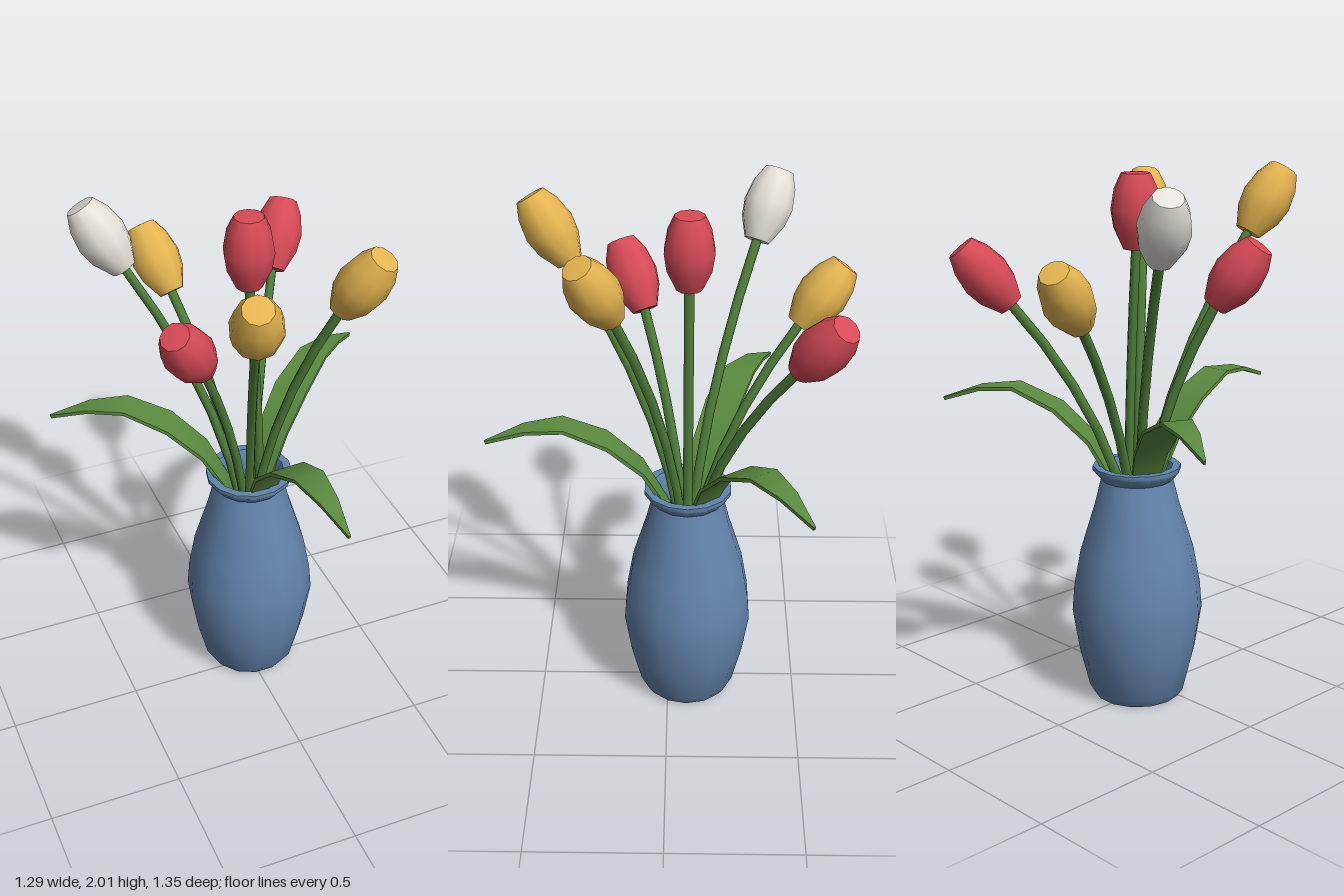
import * as THREE from 'three';
import { toCreasedNormals } from 'three/addons/utils/BufferGeometryUtils.js';

const mat = (name, color) => {
  const m = new THREE.MeshStandardMaterial({ color });
  m.name = name;
  return m;
};
const CENTRE = new THREE.Vector3(0.025, 0, -0.075); // vase axis

function lathe(profile, sides, crease) {
  const pts = profile.map(([r, y]) => new THREE.Vector2(r, y));
  return toCreasedNormals(new THREE.LatheGeometry(pts, sides, Math.PI / 2), crease);
}

// Arching strap leaf running along +z, with a thin box cross-section
function leafGeometry() {
  // distance from vase axis, height, half width
  const path = [
    [0.03, 0.6, 0.03], [0.07, 0.82, 0.045], [0.17, 1.0, 0.063], [0.3, 1.12, 0.07],
    [0.46, 1.192, 0.058], [0.6, 1.18, 0.036], [0.745, 1.13, 0.004],
  ];
  const t = 0.007, pos = [], index = [];
  path.forEach(([z, y, w], i) => {
    const a = path[Math.max(i - 1, 0)], b = path[Math.min(i + 1, path.length - 1)];
    const len = Math.hypot(b[0] - a[0], b[1] - a[1]);
    const nz = -(b[1] - a[1]) / len * t, ny = (b[0] - a[0]) / len * t;
    pos.push(-w, y - ny, z - nz, w, y - ny, z - nz, w, y + ny, z + nz, -w, y + ny, z + nz);
    if (i === 0) return;
    for (let k = 0; k < 4; k++) {
      const p = (i - 1) * 4 + k, q = (i - 1) * 4 + (k + 1) % 4;
      index.push(p, q, q + 4, p, q + 4, p + 4);
    }
  });
  const e = (path.length - 1) * 4;
  index.push(0, 2, 1, 0, 3, 2, e, e + 1, e + 2, e, e + 2, e + 3);
  const g = new THREE.BufferGeometry();
  g.setAttribute('position', new THREE.Float32BufferAttribute(pos, 3));
  g.setIndex(index);
  return toCreasedNormals(g, 0.7);
}

export function createModel() {
  const model = new THREE.Group();
  model.name = 'vaseOfTulips';
  const blue = mat('vaseBlue', 0x6384ad);
  const dark = mat('vaseInterior', 0x14181f);
  const stemGreen = mat('stemGreen', 0x4f7f3a);
  const leafGreen = mat('leafGreen', 0x5b8a40);
  const red = mat('petalRed', 0xd64a57);
  const yellow = mat('petalYellow', 0xe4b450);
  const white = mat('petalWhite', 0xe6e1d9);

  const add = (name, geometry, material, parent = model) => {
    const mesh = new THREE.Mesh(geometry, material);
    mesh.name = name;
    parent.add(mesh);
    return mesh;
  };

  // Vase with flared rim and hollow neck
  add('vase', lathe([
    [0, 0], [0.165, 0], [0.185, 0.03], [0.222, 0.18], [0.248, 0.34], [0.24, 0.44],
    [0.215, 0.58], [0.16, 0.76], [0.135, 0.86], [0.165, 0.895], [0.165, 0.912],
    [0.135, 0.912], [0.115, 0.86], [0.13, 0.76],
  ], 14, 0.7), blue).position.copy(CENTRE);
  const inside = add('vaseInterior', new THREE.CircleGeometry(0.134, 14), dark);
  inside.rotation.x = -Math.PI / 2;
  inside.position.set(CENTRE.x, 0.78, CENTRE.z);

  // Tulips: closed bud on a bent stem
  const bud = lathe([
    [0, 0], [0.048, 0], [0.083, 0.075], [0.093, 0.14], [0.08, 0.215], [0.054, 0.27], [0, 0.275],
  ], 10, 0.8);
  const tulips = [
    // colour, bud middle, bud lean (direction of its axis)
    [red, [0.025, 1.858, -0.075], [0, 1, 0]],
    [white, [-0.413, 1.86, -0.362], [-0.13, 0.24, -0.085]],
    [yellow, [-0.152, 1.87, 0.42], [-0.05, 0.23, 0.14]],
    [yellow, [0.31, 1.83, 0.237], [0.1, 0.23, 0.105]],
    [red, [-0.28, 1.637, 0.133], [-0.13, 0.22, 0.09]],
    [red, [0.327, 1.638, -0.523], [0.1, 0.2, -0.135]],
    [yellow, [-0.152, 1.62, -0.555], [-0.055, 0.2, -0.155]],
  ];
  tulips.forEach(([material, middle, lean], i) => {
    const tulip = new THREE.Group();
    tulip.name = `tulip${i + 1}`;
    model.add(tulip);
    const axis = new THREE.Vector3(...lean).normalize();
    const base = new THREE.Vector3(...middle).addScaledVector(axis, -0.1375);
    const head = add('bud', bud, material, tulip);
    head.position.copy(base);
    head.quaternion.setFromUnitVectors(new THREE.Vector3(0, 1, 0), axis);

    const start = CENTRE.clone().setY(0.5);
    if (i === 0) start.x += 0.05;
    const bend = start.clone().lerp(base, 0.1).setY(0.5 + 0.53 * (base.y - 0.5));
    const end = base.clone().addScaledVector(axis, 0.01);
    const curve = new THREE.QuadraticBezierCurve3(start, bend, end);
    add('stem', new THREE.TubeGeometry(curve, 6, 0.018, 6), stemGreen, tulip);
  });

  // Three arching leaves
  const leaf = leafGeometry();
  [[0.06, 0.745], [0.615, -0.425], [-0.675, -0.33]].forEach(([dx, dz], i) => {
    const mesh = add(`leaf${i + 1}`, leaf, leafGreen);
    mesh.position.copy(CENTRE);
    mesh.rotation.y = Math.atan2(dx, dz);
  });
  return model;
}
